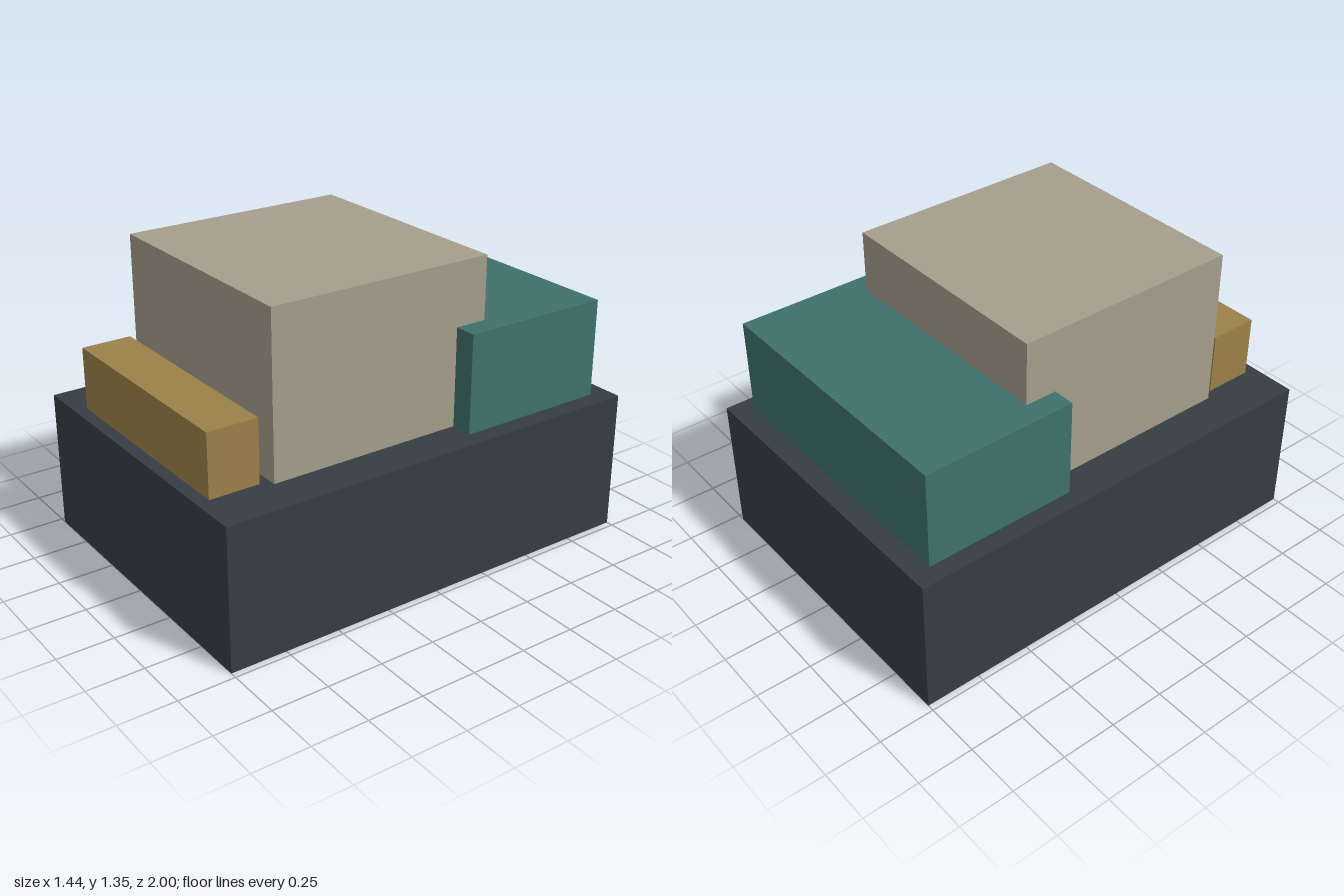
import * as THREE from 'three';

// Solid block given by its [min, max] extent on each axis
function block(name, color, [x0, x1], [y0, y1], [z0, z1]) {
  const mesh = new THREE.Mesh(
    new THREE.BoxGeometry(x1 - x0, y1 - y0, z1 - z0),
    new THREE.MeshStandardMaterial({ color })
  );
  mesh.name = name;
  mesh.position.set((x0 + x1) / 2, (y0 + y1) / 2, (z0 + z1) / 2);
  return mesh;
}

export function createModel() {
  const model = new THREE.Group();
  model.name = 'blockModel';
  const deck = 0.63; // top of the base, on which the other blocks stand

  model.add(
    block('base', 0x353e44, [-0.72, 0.72], [0, deck], [-1, 1]),
    block('mainBlock', 0xa59e8c, [-0.54, 0.54], [deck, 1.35], [-0.36, 0.675]),
    block('rearBlock', 0x3f716d, [-0.64, 0.64], [deck, 1.07], [-0.91, -0.215]),
    block('frontBlock', 0x9b8149, [-0.507, 0.507], [deck, 0.91], [0.72, 0.945])
  );
  return model;
}
